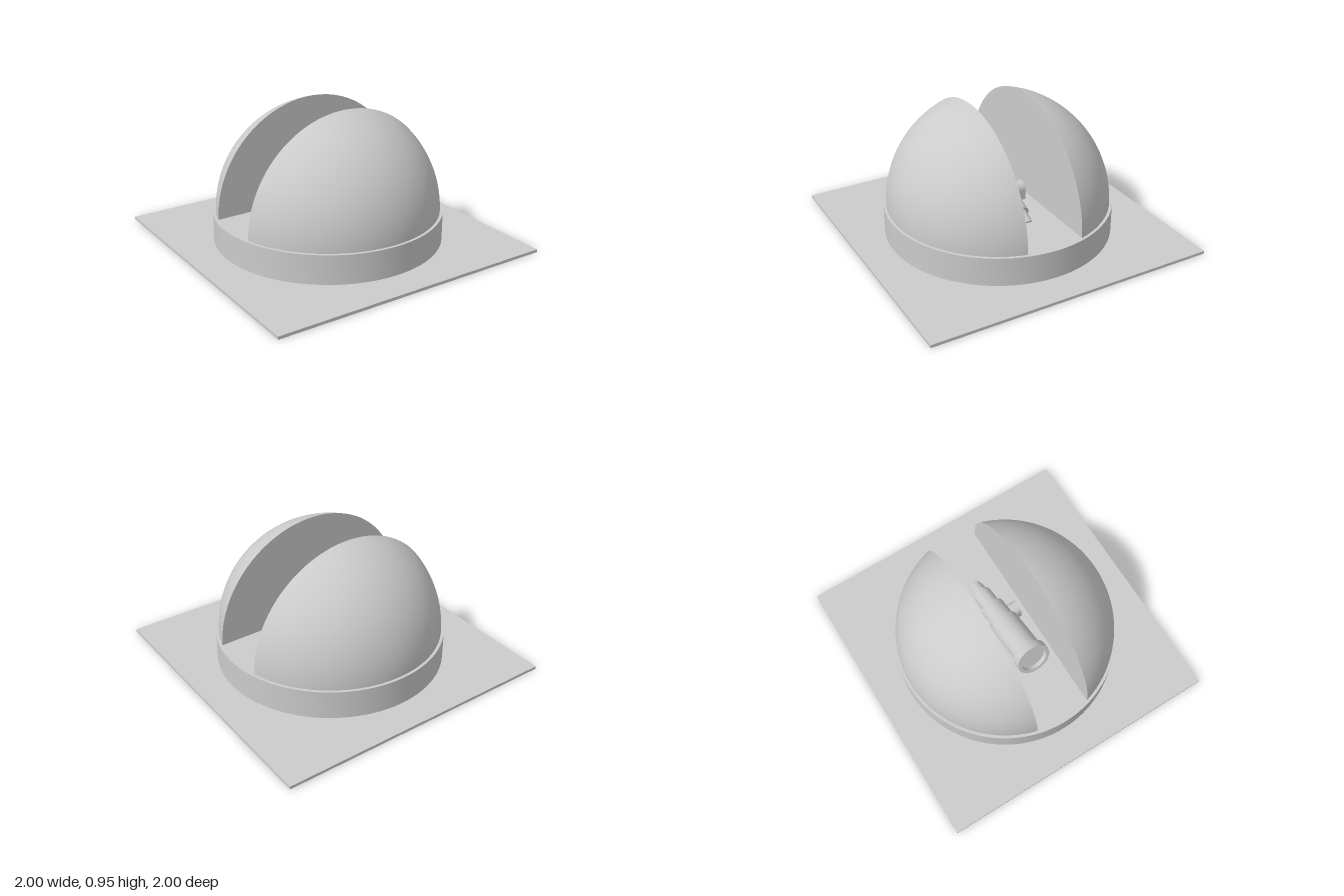
import * as THREE from 'three';
import { toCreasedNormals } from 'three/addons/utils/BufferGeometryUtils.js';

const grey = new THREE.MeshStandardMaterial({ color: 0xcccccc });
const white = new THREE.MeshStandardMaterial({ color: 0xffffff });

const DECK = 0.22;   // height of the observatory floor
const R = 0.76;      // dome radius
const GAP = 0.2;     // half width of the slit

export function createModel() {
  const model = new THREE.Group();
  model.name = 'observatory';

  function add(name, geometry, x = 0, y = 0, z = 0, material = grey, parent = model) {
    const mesh = new THREE.Mesh(geometry, material);
    mesh.name = name;
    mesh.position.set(x, y, z);
    parent.add(mesh);
    return mesh;
  }

  function lathe(points, segments, start = 0, length = Math.PI * 2) {
    const pts = points.map(([r, h]) => new THREE.Vector2(r, h));
    return toCreasedNormals(new THREE.LatheGeometry(pts, segments, start, length), 0.5);
  }

  // Square ground slab
  add('groundSlab', new THREE.BoxGeometry(2, 0.02, 2), 0, 0.01, 0);

  // Round wall with a narrow rim, and the pale floor it carries
  add('roundWall', lathe([[0.78, 0.02], [0.78, DECK], [0.775, DECK], [0.775, 0.18]], 96));
  add('floor', new THREE.CylinderGeometry(0.775, 0.775, 0.04, 96), 0, DECK - 0.02, 0, white);

  // Two dome halves: half-turn lathes about z, closed by a flat face at the slit
  const profile = [[0, GAP]];
  const a0 = Math.asin(GAP / R);
  for (let i = 0; i <= 32; i++) {
    const a = a0 + (Math.PI / 2 - a0) * i / 32;
    profile.push([R * Math.cos(a), R * Math.sin(a)]);
  }
  for (const side of ['front', 'back']) {
    const half = lathe(profile, 64, Math.PI / 2, Math.PI).rotateX(Math.PI / 2);
    if (side === 'back') half.rotateY(Math.PI);
    add(side + 'DomeHalf', half, 0, DECK, 0);
  }

  // Telescope: stepped tube tilted up towards -x, lens recessed in its collar
  const telescope = new THREE.Group();
  telescope.name = 'telescope';
  telescope.position.y = 0.345;
  telescope.rotation.z = Math.PI / 2 - 0.37;
  model.add(telescope);
  add('telescopeTube', lathe([
    [0, -0.42], [0.043, -0.42], [0.05, -0.32],           // eyepiece
    [0.065, -0.32], [0.065, -0.165],                     // focuser
    [0.085, -0.165], [0.085, 0],                         // rear tube
    [0.1, 0], [0.1, 0.33],                               // main barrel
    [0.12, 0.33], [0.12, 0.39], [0.095, 0.39],           // collar
    [0.095, 0.36], [0, 0.36],                            // lens
  ], 48), 0, 0, 0, grey, telescope);

  // Mount: round cross axle on a pier
  add('mountAxle', new THREE.CylinderGeometry(0.05, 0.05, 0.3, 32).rotateX(Math.PI / 2), 0.07, 0.29, 0);
  add('mountPier', new THREE.BoxGeometry(0.1, 0.09, 0.3), 0.07, 0.245, 0);

  return model;
}
